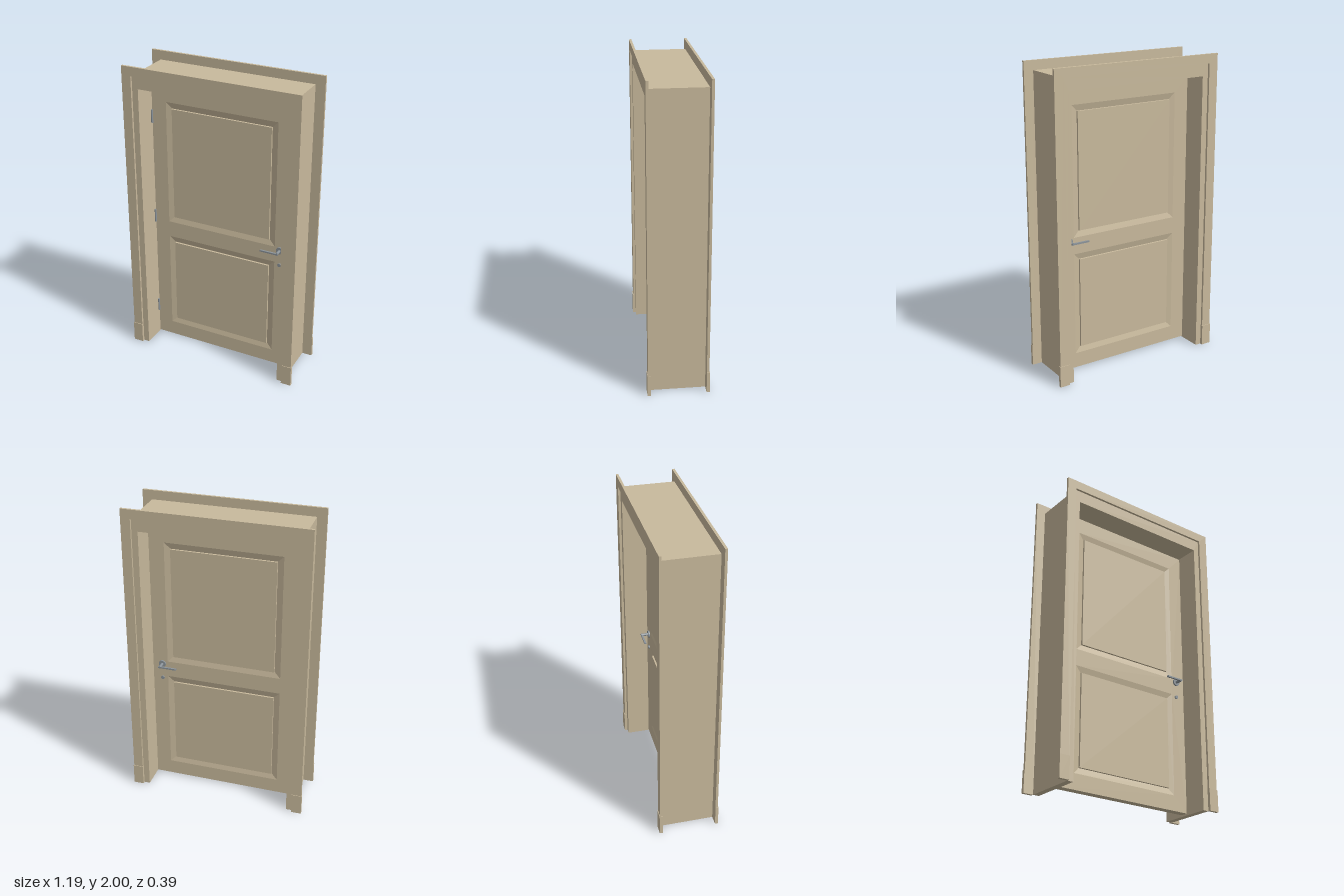
import * as THREE from 'three';

const wood = new THREE.MeshStandardMaterial({ color: 0xc8b99c });
const metal = new THREE.MeshStandardMaterial({ color: 0x8c949a });

function add(parent, name, geometry, material, x = 0, y = 0, z = 0) {
  const mesh = new THREE.Mesh(geometry, material);
  mesh.name = name;
  mesh.position.set(x, y, z);
  parent.add(mesh);
  return mesh;
}

// Upside-down U profile, standing on y = 0
function archShape(outerX, outerY, innerX, innerY) {
  return new THREE.Shape([
    [-outerX, 0], [-outerX, outerY], [outerX, outerY], [outerX, 0],
    [innerX, 0], [innerX, innerY], [-innerX, innerY], [-innerX, 0],
  ].map(([x, y]) => new THREE.Vector2(x, y)));
}

const extrude = (shape, depth) =>
  new THREE.ExtrudeGeometry(shape, { depth, bevelEnabled: false }).translate(0, 0, -depth / 2);

// Raised panel: nested rectangles joined into bands, closed with a flat field
function panelGeometry(w, h) {
  const rings = [[0, 0.025], [0.04, 0.015], [0.041, 0.026]]; // inset, z
  const corners = rings.map(([inset, z]) => [[-1, -1], [1, -1], [1, 1], [-1, 1]].map(
    ([sx, sy]) => [sx * (w / 2 - inset), sy * (h / 2 - inset), z]));
  const pos = [];
  const quad = (a, b, c, d) => pos.push(...a, ...b, ...c, ...a, ...c, ...d);
  for (let r = 0; r < rings.length - 1; r++) {
    for (let i = 0; i < 4; i++) {
      const j = (i + 1) % 4;
      quad(corners[r][i], corners[r][j], corners[r + 1][j], corners[r + 1][i]);
    }
  }
  quad(...corners[rings.length - 1]);
  const g = new THREE.BufferGeometry();
  g.setAttribute('position', new THREE.Float32BufferAttribute(pos, 3));
  g.computeVertexNormals();
  return g;
}

// Lever handle and key escutcheon for one face, built facing +z
function handleSet() {
  const set = new THREE.Group();
  const disc = (r, d) => new THREE.CylinderGeometry(r, r, d, 32).rotateX(Math.PI / 2);
  add(set, 'rose', disc(0.024, 0.01), metal, 0.418, 0.885, 0.03);
  add(set, 'spindle', disc(0.009, 0.055), metal, 0.418, 0.885, 0.0525);
  add(set, 'lever', new THREE.BoxGeometry(0.122, 0.01, 0.012), metal, 0.366, 0.885, 0.078);
  add(set, 'keyEscutcheon', disc(0.012, 0.008), metal, 0.418, 0.78, 0.029);
  return set;
}

export function createModel() {
  const model = new THREE.Group();
  model.name = 'panelDoor';

  // Deep jamb lining the wall opening
  add(model, 'jamb', extrude(archShape(0.527, 1.94, 0.487, 1.86), 0.354), wood);

  // Casings and plinth blocks on both wall faces
  for (const side of [1, -1]) {
    add(model, 'casing', extrude(archShape(0.59, 2, 0.527, 1.94), 0.016), wood, 0, 0, side * 0.184);
    for (const s of [-1, 1]) {
      add(model, 'plinthBlock', new THREE.BoxGeometry(0.067, 0.14, 0.02), wood, s * 0.5595, 0.07, side * 0.186);
    }
  }

  // Door leaf with two panel openings
  const door = new THREE.Group();
  door.name = 'door';
  model.add(door);
  const rect = (Type, x0, y0, x1, y1) => new Type([
    new THREE.Vector2(x0, y0), new THREE.Vector2(x1, y0),
    new THREE.Vector2(x1, y1), new THREE.Vector2(x0, y1)]);
  const panels = [[0.11, 0.795], [0.905, 1.745]];
  const leaf = rect(THREE.Shape, -0.482, 0.01, 0.482, 1.852);
  for (const [y0, y1] of panels) leaf.holes.push(rect(THREE.Path, -0.382, y0, 0.382, y1));
  add(door, 'doorLeaf', extrude(leaf, 0.05), wood);

  // Raised panels, front and back
  for (const [y0, y1] of panels) {
    const g = panelGeometry(0.764, y1 - y0);
    add(door, 'frontPanel', g, wood, 0, (y0 + y1) / 2);
    add(door, 'backPanel', g, wood, 0, (y0 + y1) / 2).rotation.y = Math.PI;
  }

  // Handles: the back set mirrors the front one
  const front = handleSet();
  front.name = 'frontHandle';
  const back = handleSet();
  back.name = 'backHandle';
  back.scale.z = -1;
  door.add(front, back);

  // Hinge knuckles on the front face
  for (const y of [0.225, 0.93, 1.635]) {
    add(door, 'hinge', new THREE.CylinderGeometry(0.007, 0.007, 0.09, 16), metal, -0.483, y, 0.029);
  }
  return model;
}
